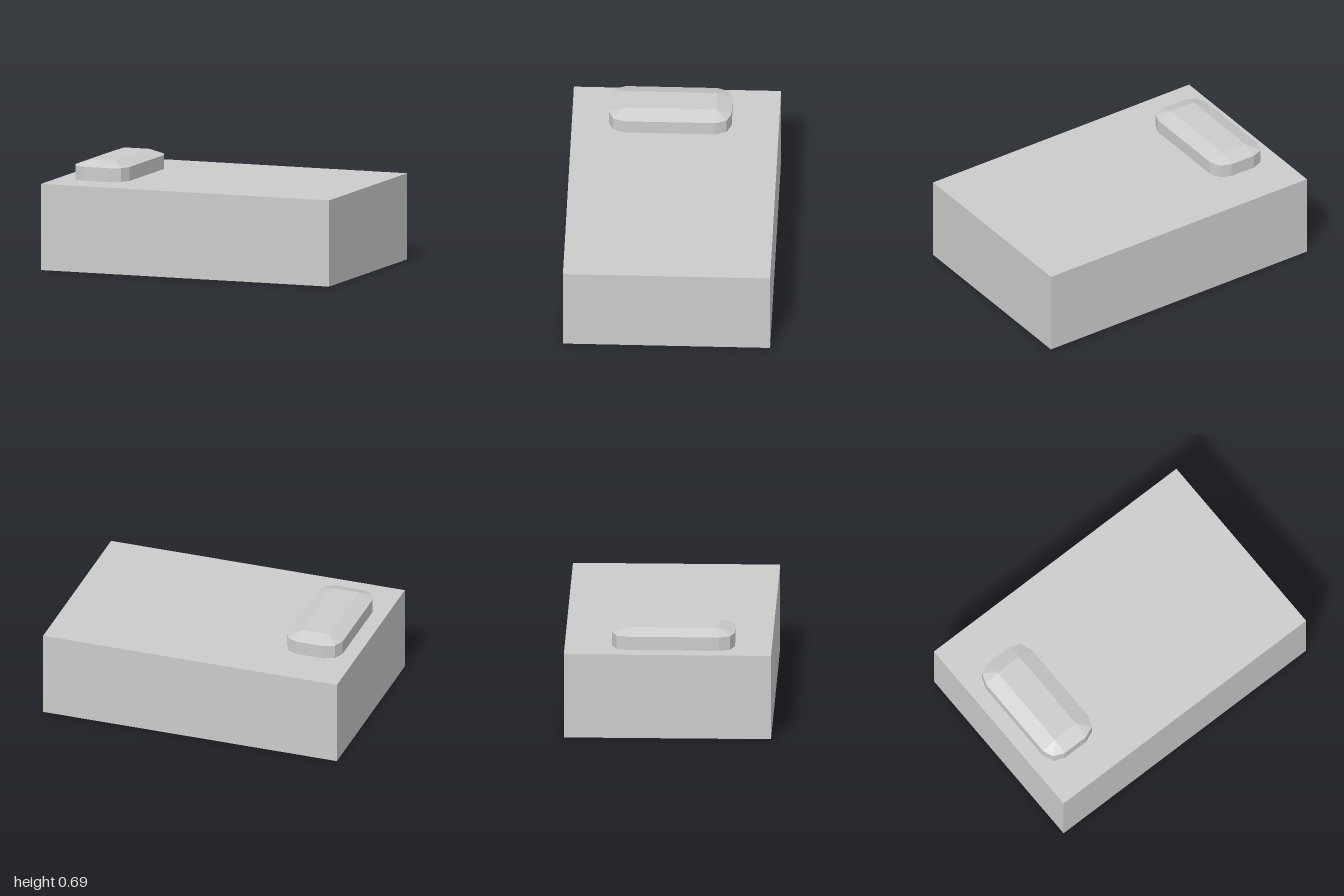
import * as THREE from 'three';
import { ConvexGeometry } from 'three/addons/geometries/ConvexGeometry.js';

const material = new THREE.MeshStandardMaterial({ color: 0xcccccc, flatShading: true });

// Rectangular ring of corners, counter-clockwise seen from above
const ring = (x, z, y) => [[-x, y, z], [x, y, z], [x, y, -z], [-x, y, -z]];

// Hollow shell, open underneath: rings run down the outside and up the inside
function shellGeometry() {
  const wall = 0.11, w = 1, d = 0.667, top = 0.56, ceiling = 0.49;
  const rings = [
    ring(w, d, top),
    ring(w, d, 0),
    ring(w - wall, d - wall, 0),
    ring(w - wall, d - wall, ceiling),
  ];
  const positions = [];
  const quad = (a, b, c, e) => positions.push(...a, ...b, ...c, ...a, ...c, ...e);
  quad(...rings[0]);
  for (let r = 0; r < 3; r++) {
    for (let i = 0; i < 4; i++) {
      const j = (i + 1) % 4;
      quad(rings[r][i], rings[r + 1][i], rings[r + 1][j], rings[r][j]);
    }
  }
  quad(...[...rings[3]].reverse());
  const geometry = new THREE.BufferGeometry();
  geometry.setAttribute('position', new THREE.Float32BufferAttribute(positions, 3));
  geometry.computeVertexNormals();
  return geometry;
}

// Button with faceted corners and a bevelled top, reaching through the lid
function buttonGeometry() {
  const hx = 0.088, hz = 0.295, radius = 0.1;
  const bottom = 0.265, shoulder = 0.65, top = 0.685;
  const points = [];
  for (let corner = 0; corner < 4; corner++) {
    const mid = Math.PI / 4 + corner * Math.PI / 2;
    const cx = Math.sign(Math.cos(mid)) * hx;
    const cz = Math.sign(Math.sin(mid)) * hz;
    points.push(new THREE.Vector3(cx, top, cz));
    for (let k = -1; k <= 1; k++) {
      const angle = mid + k * Math.PI / 4;
      const x = cx + radius * Math.cos(angle);
      const z = cz + radius * Math.sin(angle);
      points.push(new THREE.Vector3(x, bottom, z), new THREE.Vector3(x, shoulder, z));
    }
  }
  return new ConvexGeometry(points);
}

export function createModel() {
  const group = new THREE.Group();
  group.name = 'boxWithButton';

  const shell = new THREE.Mesh(shellGeometry(), material);
  shell.name = 'shell';
  group.add(shell);

  const button = new THREE.Mesh(buttonGeometry(), material);
  button.name = 'button';
  button.position.set(-0.711, 0, 0.033);
  group.add(button);

  return group;
}
